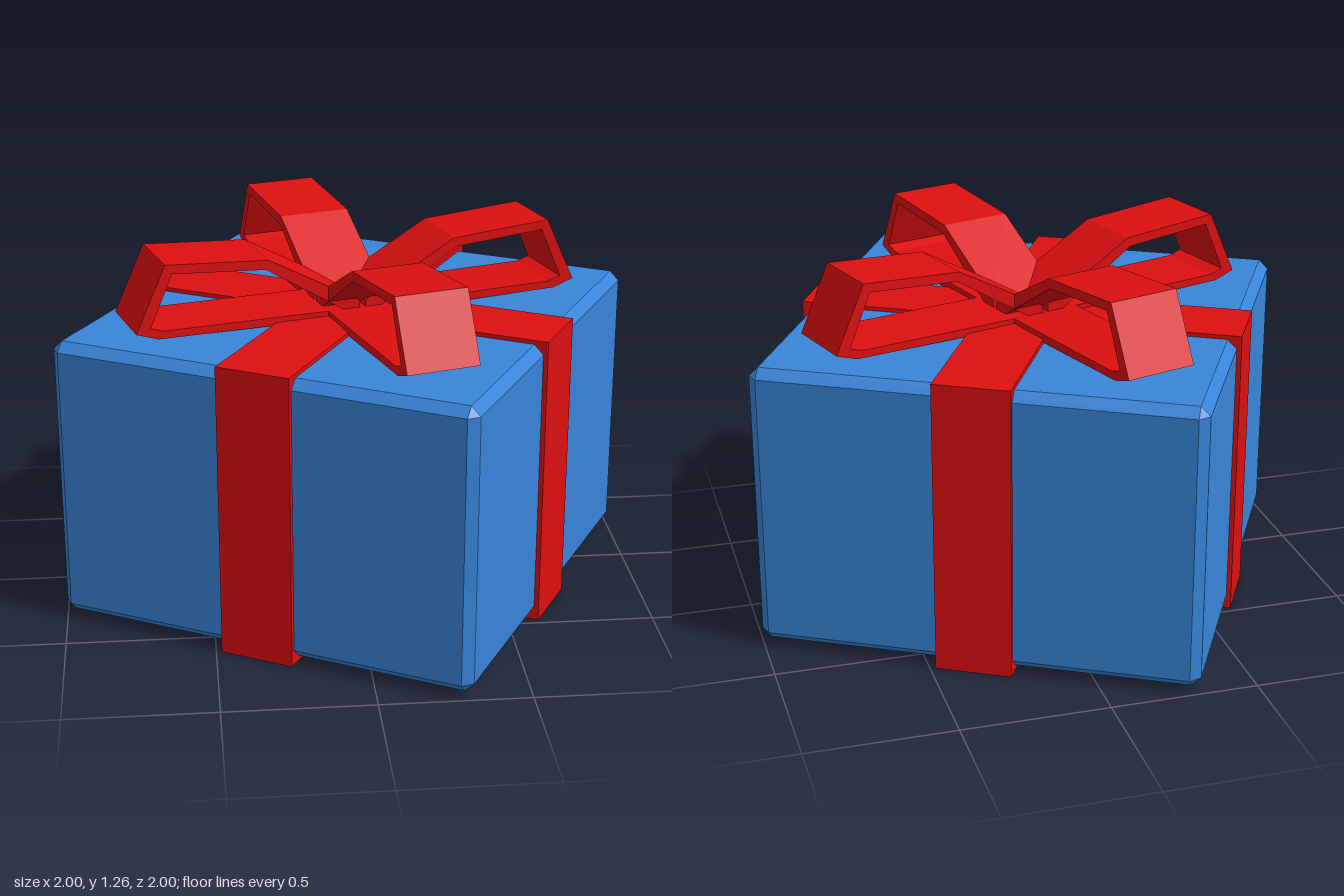
import * as THREE from 'three';
import { ConvexGeometry } from 'three/addons/geometries/ConvexGeometry.js';

const blue = new THREE.MeshStandardMaterial({ name: 'blue paper', color: 0x3884d8 });
const red = new THREE.MeshStandardMaterial({ name: 'red ribbon', color: 0xdc0f10 });

// Box with every edge cut at 45 degrees by c
function chamferedBox(hx, hy, hz, c) {
  const points = [];
  for (const x of [-1, 1]) for (const y of [-1, 1]) for (const z of [-1, 1]) {
    points.push(
      new THREE.Vector3(x * hx, y * (hy - c), z * (hz - c)),
      new THREE.Vector3(x * (hx - c), y * hy, z * (hz - c)),
      new THREE.Vector3(x * (hx - c), y * (hy - c), z * hz)
    );
  }
  return new ConvexGeometry(points);
}

// Bow loop: a bent strip seen from its side, extruded to the ribbon width
function loopGeometry(width) {
  const toPoints = (list) => list.map(([r, y]) => new THREE.Vector2(r, y));
  const shape = new THREE.Shape(toPoints([
    [0.01, 1.0], [0.72, 1.01], [0.795, 1.035], [0.69, 1.26], [0.335, 1.235], [0.01, 1.055],
  ]));
  shape.holes.push(new THREE.Path(toPoints([
    [0.07, 1.03], [0.345, 1.203], [0.668, 1.227], [0.745, 1.05], [0.7, 1.036],
  ])));
  const geometry = new THREE.ExtrudeGeometry(shape, { depth: width, bevelEnabled: false });
  return geometry.translate(0, 0, -width / 2);
}

export function createModel() {
  const model = new THREE.Group();
  model.name = 'giftBox';

  // Wrapped box with its two crossing bands
  const parcel = new THREE.Group();
  parcel.name = 'parcel';
  parcel.rotation.y = THREE.MathUtils.degToRad(-28.9);
  model.add(parcel);

  const box = new THREE.Mesh(chamferedBox(0.747, 0.49, 0.747, 0.032), blue);
  box.name = 'box';
  box.position.y = 0.51;
  parcel.add(box);

  for (let i = 0; i < 2; i++) {
    const band = new THREE.Mesh(new THREE.BoxGeometry(1.526, 1.014, 0.258), red);
    band.name = 'ribbonBand';
    band.position.y = 0.507;
    band.rotation.y = i * Math.PI / 2;
    parcel.add(band);
  }

  // Four-loop bow
  const bow = new THREE.Group();
  bow.name = 'bow';
  bow.rotation.y = THREE.MathUtils.degToRad(16.5);
  model.add(bow);

  const loop = loopGeometry(0.25);
  for (let i = 0; i < 4; i++) {
    const mesh = new THREE.Mesh(loop, red);
    mesh.name = 'bowLoop';
    mesh.rotation.y = i * Math.PI / 2;
    bow.add(mesh);
  }
  return model;
}
